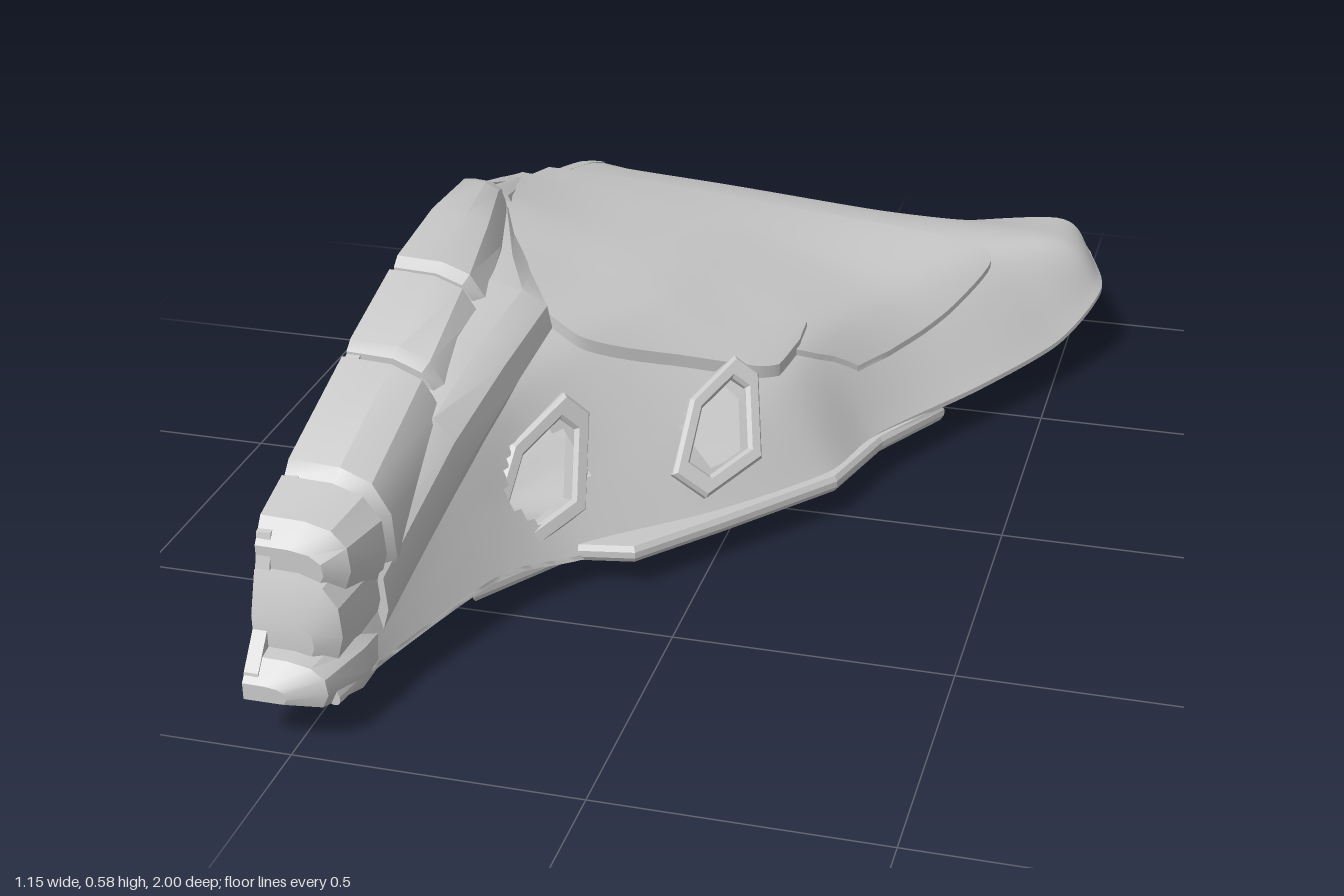
import * as THREE from 'three';
import { toCreasedNormals } from 'three/addons/utils/BufferGeometryUtils.js';

const INNER = -0.575; // plane of the flat side

// Hull stations from nose to rear: z, then five (x, y) points from flat side to outer edge
const STATIONS = [
  [0.95, [-0.575, 0.16], [-0.5, 0.15], [-0.46, 0.13], [-0.44, 0.11], [-0.43, 0.09]],
  [0.8, [-0.575, 0.3], [-0.47, 0.28], [-0.43, 0.2], [-0.41, 0.13], [-0.4, 0.09]],
  [0.53, [-0.575, 0.42], [-0.45, 0.4], [-0.39, 0.32], [-0.34, 0.2], [-0.3, 0.1]],
  [0.38, [-0.575, 0.47], [-0.42, 0.44], [-0.34, 0.36], [-0.27, 0.2], [-0.2, 0.07]],
  [0.2, [-0.575, 0.5], [-0.38, 0.45], [-0.25, 0.39], [-0.1, 0.22], [0, 0.08]],
  [0, [-0.575, 0.51], [-0.35, 0.44], [-0.15, 0.385], [0.05, 0.25], [0.17, 0.08]],
  [-0.17, [-0.575, 0.51], [-0.35, 0.44], [-0.12, 0.38], [0.1, 0.28], [0.22, 0.09]],
  [-0.42, [-0.575, 0.44], [-0.33, 0.415], [-0.08, 0.365], [0.2, 0.27], [0.385, 0.1]],
  [-0.65, [-0.575, 0.385], [-0.3, 0.375], [0, 0.345], [0.34, 0.285], [0.51, 0.11]],
  [-0.8, [-0.575, 0.345], [-0.25, 0.325], [0.07, 0.3], [0.47, 0.275], [0.575, 0.17]],
  [-0.9, [-0.575, 0.31, -0.9], [-0.2, 0.265, -0.88], [0.1, 0.225, -0.915], [0.45, 0.24, -0.995], [0.535, 0.2, -0.92]],
];
const ROWS = STATIONS.map(([z, ...pts]) => pts.map(([x, y, pz = z]) => new THREE.Vector3(x, y, pz)));
const LAST = ROWS.length - 1;

// Lower edge of the flat side as (z, y)
const WALL_BOTTOM = [[1, 0.1], [0.85, 0.06], [0.5, 0.085], [0.42, 0.06], [0.36, 0.005], [-0.38, 0.045], [-0.4, 0.07], [-0.62, 0.085], [-0.9, 0.28]];

// Smooth value of a polyline at a fractional index
function spline(pts, i) {
  return new THREE.CatmullRomCurve3(pts, false, 'catmullrom', 0.4).getPoint(THREE.MathUtils.clamp(i / (pts.length - 1), 0, 1));
}
const cache = new Map();
function columnPoint(k, s) {
  const key = k + ':' + s.toFixed(5);
  if (!cache.has(key)) cache.set(key, spline(ROWS[k], s * 4));
  return cache.get(key);
}
function surface(s, u) {
  return spline(ROWS.map((_, k) => columnPoint(k, s)), u);
}
function stationAt(z) {
  for (let k = 0; k < LAST; k++) {
    const a = STATIONS[k][0], b = STATIONS[k + 1][0];
    if (z >= b) return Math.max(0, k + (a - z) / (a - b));
  }
  return LAST;
}
function surfaceNormal(s, u) {
  const ds = surface(s + 0.02, u).sub(surface(s - 0.02, u));
  const du = surface(s, u + 0.05).sub(surface(s, u - 0.05));
  return ds.cross(du).normalize().multiplyScalar(Math.sign(ds.y) || 1);
}
// Shallow dome between the foot of the flat side and the outer edge
function underside(s, u) {
  const p = surface(s, u);
  const k = Math.max(1, WALL_BOTTOM.findIndex(([z]) => z <= p.z + 1e-6));
  const [z0, y0] = WALL_BOTTOM[k - 1], [z1, y1] = WALL_BOTTOM[k];
  const foot = Math.max(0.05, THREE.MathUtils.mapLinear(p.z, z0, z1, y0, y1));
  const dome = THREE.MathUtils.lerp(foot, surface(1, u).y, s) + 0.1 * Math.sin(Math.PI * s);
  p.y = Math.min(p.y - 0.01 - 0.14 * s * (1 - s), dome);
  return p;
}

function makeGeometry(pos, index, crease = 0.6) {
  const g = new THREE.BufferGeometry();
  g.setAttribute('position', new THREE.Float32BufferAttribute(pos, 3));
  g.setIndex(index);
  return toCreasedNormals(g, crease);
}

// Closed skin between an upper and a lower grid; upper cells chosen by skip stay open
function skin(upper, lower, n, m, skip) {
  const pos = [], index = [], half = (n + 1) * (m + 1);
  const id = (i, j) => i * (m + 1) + j;
  for (const f of [upper, lower])
    for (let i = 0; i <= n; i++) for (let j = 0; j <= m; j++) pos.push(...f(i / n, j / m).toArray());
  const quad = (a, b, c, d) => index.push(a, b, c, a, c, d);
  for (let i = 0; i < n; i++) for (let j = 0; j < m; j++) {
    const q = [id(i, j), id(i, j + 1), id(i + 1, j + 1), id(i + 1, j)];
    if (!skip((i + 0.5) / n, (j + 0.5) / m)) quad(q[3], q[2], q[1], q[0]);
    quad(...q.map(v => v + half));
  }
  const wall = (a, b) => quad(a, b, b + half, a + half);
  for (let i = 0; i < n; i++) { wall(id(i, 0), id(i + 1, 0)); wall(id(i + 1, m), id(i, m)); }
  for (let j = 0; j < m; j++) { wall(id(0, j + 1), id(0, j)); wall(id(n, j), id(n, j + 1)); }
  return makeGeometry(pos, index);
}

// Half-rounded armour lofted along z; each section is [z, width x, top, bottom]
function armour(sections) {
  const pos = [], index = [], n = 7;
  for (const [z, w, top, bot] of sections) {
    const h = top - bot, d = w - INNER;
    [[INNER, bot], [w - d * 0.08, bot], [w, bot + h * 0.3], [w - d * 0.03, bot + h * 0.65],
      [w - d * 0.2, bot + h * 0.88], [w - d * 0.5, top - h * 0.02], [INNER, top]]
      .forEach(([x, y]) => pos.push(x, y, z));
  }
  for (let k = 0; k < sections.length - 1; k++) for (let i = 0; i < n; i++) {
    const a = k * n + i, b = k * n + (i + 1) % n;
    index.push(a, a + n, b, b, a + n, b + n);
  }
  const e = (sections.length - 1) * n;
  for (let i = 1; i < n - 1; i++) index.push(0, i, i + 1, e, e + i + 1, e + i);
  return makeGeometry(pos, index, 0.5);
}

function polygon(points) {
  return new THREE.Shape(points.map(([x, y]) => new THREE.Vector2(x, y)));
}

export function createModel() {
  const model = new THREE.Group();
  const grey = new THREE.MeshStandardMaterial({ color: 0xc8c8c8, side: THREE.DoubleSide });
  grey.name = 'hull grey';
  const add = (name, geometry) => {
    const mesh = new THREE.Mesh(geometry, grey);
    mesh.name = name;
    model.add(mesh);
    return mesh;
  };

  // Hull body with two window openings and a rear slot
  const windows = [[0.37, 0.72, 1.05], [0.11, 0.78, 0.95]].map(([z, s, size]) => {
    const u = stationAt(z);
    return { centre: surface(s, u), normal: surfaceNormal(s, u), size };
  });
  const atWindow = p => windows.some(w => p.distanceTo(w.centre) < 0.08 * w.size);
  add('hull', skin((s, t) => surface(s, t * LAST), (s, t) => underside(s, t * LAST), 44, 100, (s, t) => {
    const u = t * LAST, p = surface(s, u);
    const slot = u > LAST - 0.6 && u < LAST - 0.2 && p.x > -0.5 && p.x < 0.1;
    return slot || atWindow(p);
  }));

  // Raised overlapping panels: list of [s, front z, rear z]
  const panel = (name, limits, lift) => {
    const curve = new THREE.CatmullRomCurve3(limits.map(l => new THREE.Vector3(...l)), false, 'catmullrom', 0.4);
    const at = d => (a, b) => {
      const l = curve.getPoint(a);
      const p = surface(l.x, stationAt(THREE.MathUtils.lerp(l.y, l.z, b)));
      p.y += d;
      return p;
    };
    add(name, skin(at(lift), at(-0.01), 36, 36, (a, b) => atWindow(at(0)(a, b))));
  };
  panel('rearPanel', [[0, 0.1, -0.585], [0.4, 0.05, -0.585], [0.62, -0.05, -0.63], [0.73, -0.1, -0.66], [0.79, -0.14, -0.63], [0.84, -0.2, -0.48], [0.86, -0.22, -0.3]], 0.012);
  panel('upperPanel', [[0, 0.1, -0.43], [0.3, 0.18, -0.42], [0.5, 0.2, -0.37], [0.63, 0.08, -0.28], [0.71, 0, -0.19], [0.74, -0.04, -0.12]], 0.024);

  // Window frames sitting on the openings
  const outline = [[-0.125, -0.06], [-0.075, -0.115], [0.06, -0.075], [0.105, 0.08], [0.07, 0.12], [-0.045, 0.065]];
  windows.forEach(({ centre, normal, size }, i) => {
    const shape = polygon(outline.map(p => p.map(v => v * size)));
    shape.holes.push(polygon(outline.map(p => p.map(v => v * size * 0.78))));
    const geometry = new THREE.ExtrudeGeometry(shape, { depth: 0.03, bevelEnabled: true, bevelSize: 0.006, bevelThickness: 0.008, bevelSegments: 1 });
    geometry.translate(0, 0, -0.027);
    const frame = add('windowFrame' + (i + 1), geometry);
    frame.position.copy(centre);
    frame.lookAt(centre.clone().add(normal));
  });

  // Armour plates along the spine, split by narrow gaps
  const plates = [
    [[1, -0.5, 0.125, 0.095], [0.97, -0.44, 0.16, 0.08], [0.87, -0.41, 0.18, 0.06], [0.8, -0.41, 0.17, 0.06]],
    [[0.945, -0.47, 0.22, 0.15], [0.92, -0.43, 0.29, 0.14], [0.78, -0.41, 0.31, 0.14]],
    [[0.91, -0.46, 0.33, 0.27], [0.88, -0.425, 0.37, 0.25], [0.79, -0.4, 0.395, 0.22]],
    [[0.785, -0.41, 0.385, 0.17], [0.76, -0.395, 0.41, 0.18], [0.52, -0.395, 0.485, 0.26], [0.505, -0.405, 0.475, 0.28]],
    [[0.5, -0.405, 0.485, 0.28], [0.48, -0.395, 0.5, 0.28], [0.29, -0.405, 0.55, 0.36], [0.275, -0.415, 0.535, 0.37]],
    [[0.27, -0.415, 0.545, 0.37], [0.25, -0.405, 0.56, 0.37], [0.07, -0.44, 0.58, 0.4], [-0.1, -0.49, 0.573, 0.42], [-0.16, -0.51, 0.55, 0.42]],
    [[-0.15, -0.49, 0.54, 0.42], [-0.3, -0.52, 0.5, 0.4], [-0.45, -0.55, 0.45, 0.37]],
  ];
  plates.forEach((p, i) => add('spinePlate' + (i + 1), armour(p)));
  add('collar', armour([[0.8, -0.4, 0.29, 0.12], [0.55, -0.36, 0.425, 0.24], [0.38, -0.325, 0.485, 0.33],
    [0.2, -0.305, 0.51, 0.39], [0.08, -0.38, 0.52, 0.4], [-0.12, -0.48, 0.53, 0.42]]));
  add('chin', armour([[0.9, -0.43, 0.12, 0.07], [0.7, -0.4, 0.14, 0.075], [0.45, -0.34, 0.14, 0.08]]));
  add('keel', armour([[0.43, -0.38, 0.1, 0.06], [0.36, -0.38, 0.1, 0], [0.15, -0.44, 0.09, 0.015], [-0.38, -0.53, 0.09, 0.045]]));

  // Flat wall closing the inner side
  const wall = polygon([...WALL_BOTTOM, [-0.9, 0.31], [-0.8, 0.345], [-0.65, 0.385],
    [-0.45, 0.44], [-0.3, 0.495], [-0.1, 0.565], [0.07, 0.575], [0.27, 0.54], [0.5, 0.48], [0.78, 0.39], [0.9, 0.35], [0.94, 0.2], [0.99, 0.14]]);
  const wallGeometry = new THREE.ExtrudeGeometry(wall, { depth: 0.025, bevelEnabled: false });
  wallGeometry.rotateY(-Math.PI / 2).translate(INNER + 0.025, 0, 0);
  add('innerWall', wallGeometry);

  // Thin sill under the windows
  const sill = polygon([[-0.34, 0.56], [-0.22, 0.38], [-0.11, 0.36], [0.01, 0.22], [0.18, 0.01], [0.23, -0.17], [0.32, -0.33], [0.27, -0.32], [0.1, -0.02], [-0.18, 0.28], [-0.36, 0.5]]
    .map(([x, z]) => [x, -z]));
  const sillGeometry = new THREE.ExtrudeGeometry(sill, { depth: 0.012, bevelEnabled: true, bevelSize: 0.006, bevelThickness: 0.01, bevelSegments: 1 });
  sillGeometry.rotateX(-Math.PI / 2).translate(0, 0.067, 0);
  add('sill', sillGeometry);

  // Pipes under the hull, tied by two pairs of clamps
  const path = [[0.35, 0.15, -0.84], [0.31, 0.165, -0.76], [0.04, 0.18, -0.5], [-0.22, 0.165, -0.27], [-0.34, 0.14, -0.22], [-0.52, 0.095, -0.19]];
  [[0, 0.04], [0.062, 0.022], [0.105, 0.02]].forEach(([shift, r], i) => {
    const pts = path.map(([x, y, z]) => new THREE.Vector3(x + shift, y, z + shift));
    add('pipe' + (i + 1), new THREE.TubeGeometry(new THREE.CatmullRomCurve3(pts), 32, r, 8));
    const cap = add('pipeEnd' + (i + 1), new THREE.SphereGeometry(r, 10, 8));
    cap.position.copy(pts[0]);
  });
  [[0, 0.165, -0.38], [-0.26, 0.13, -0.16]].forEach(([x, y, z], i) => {
    for (const k of [-1, 1]) {
      const clamp = add('pipeClamp' + (i + 1), new THREE.BoxGeometry(0.25, 0.04, 0.018));
      clamp.position.set(x + k * 0.016, y - 0.015, z - k * 0.016);
      clamp.rotation.y = -Math.PI / 4;
    }
  });
  return model;
}
